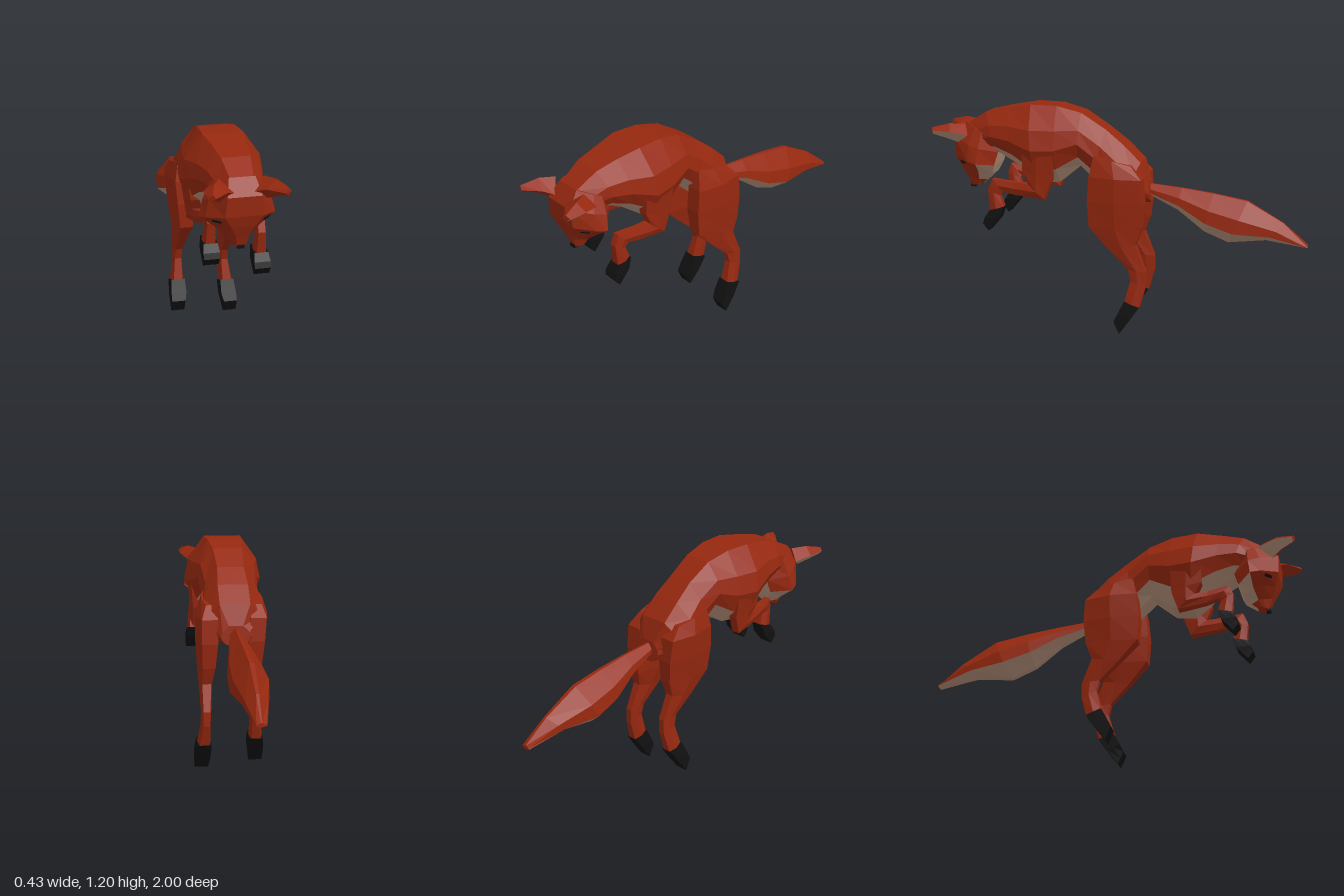
import * as THREE from 'three';

const mat = (name, color) => {
  const m = new THREE.MeshStandardMaterial({ color, side: THREE.DoubleSide });
  m.name = name;
  return m;
};

// Symmetric cross-section: top/front point T and bottom/back point B as [z, y],
// half width w, centre x; profile = [fraction from T to B, width factor].
function ring([tz, ty, bz, by, w, x = 0], profile) {
  const at = (s) => ([f, k]) => new THREE.Vector3(x + s * k * w, ty + (by - ty) * f, tz + (bz - tz) * f);
  return [...profile.map(at(1)), ...profile.map(at(-1)).reverse()];
}

// Faceted skin through the rings with capped ends; pick(segment, column) gives the material index.
function loft(name, rings, materials, pick = () => 0) {
  const n = rings[0].length, tris = materials.map(() => []);
  let volume = 0;
  const add = (m, a, b, c) => {
    tris[m].push([a, b, c]);
    volume += a.dot(new THREE.Vector3().crossVectors(b, c));
  };
  for (let i = 0; i < rings.length - 1; i++)
    for (let j = 0; j < n; j++) {
      const k = (j + 1) % n, m = pick(i, j);
      add(m, rings[i][j], rings[i][k], rings[i + 1][k]);
      add(m, rings[i][j], rings[i + 1][k], rings[i + 1][j]);
    }
  [0, rings.length - 1].forEach((i) => {
    const c = new THREE.Vector3();
    rings[i].forEach((p) => c.addScaledVector(p, 1 / n));
    for (let j = 0; j < n; j++) {
      const a = rings[i][j], b = rings[i][(j + 1) % n];
      i ? add(pick(i - 1, 0), c, a, b) : add(pick(0, 0), c, b, a);
    }
  });
  const pos = [], geo = new THREE.BufferGeometry();
  tris.forEach((list, m) => {
    geo.addGroup(pos.length / 3, list.length * 3, m);
    for (const t of list) for (const p of volume < 0 ? [t[0], t[2], t[1]] : t) pos.push(p.x, p.y, p.z);
  });
  geo.setAttribute('position', new THREE.Float32BufferAttribute(pos, 3));
  geo.computeVertexNormals();
  const mesh = new THREE.Mesh(geo, materials);
  mesh.name = name;
  return mesh;
}

export function createModel() {
  const fox = new THREE.Group();
  fox.name = 'leapingFox';
  const red = mat('redFur', 0x96280f), cream = mat('creamFur', 0xb5917a), black = mat('blackFur', 0x111111);
  const coat = [red, cream, black];

  // Arched torso with a cream throat, chest and belly
  const bodyProfile = [[0, 0.48], [0.3, 0.9], [0.55, 1], [0.8, 0.8], [1, 0.35]];
  const body = [
    [0.84, 1.09, 0.70, 0.95, 0.12],
    [0.72, 1.16, 0.65, 0.93, 0.15],
    [0.60, 1.185, 0.56, 0.88, 0.175],
    [0.47, 1.205, 0.43, 0.78, 0.215],
    [0.33, 1.20, 0.32, 0.79, 0.195],
    [0.20, 1.165, 0.21, 0.88, 0.165],
    [0.07, 1.08, 0.13, 0.80, 0.15],
    [-0.03, 1.0, 0.06, 0.73, 0.17],
    [-0.12, 0.91, -0.03, 0.69, 0.17],
    [-0.16, 0.80, -0.17, 0.69, 0.08],
  ].map((r) => ring(r, bodyProfile));
  fox.add(loft('torso', body, coat, (i, j) => (i < 7 && j >= 3 && j <= 5 ? 1 : 0)));

  // Head pointing down, cream under the jaw
  const headProfile = [[0, 0.5], [0.4, 0.9], [0.65, 1], [1, 0.5]];
  const head = [
    [0.84, 1.10, 0.68, 1.03, 0.13],
    [0.90, 1.02, 0.66, 0.94, 0.17],
    [0.895, 0.92, 0.68, 0.87, 0.19],
    [0.875, 0.86, 0.70, 0.82, 0.115],
    [0.85, 0.80, 0.74, 0.78, 0.058],
    [0.83, 0.745, 0.77, 0.755, 0.04],
  ].map((r) => ring(r, headProfile));
  fox.add(loft('head', head, coat, (i, j) => ((j === 3 && i > 0) || (i > 1 && i < 4 && (j === 2 || j === 4)) ? 1 : 0)));

  const nose = new THREE.Mesh(new THREE.BoxGeometry(0.034, 0.018, 0.024), black);
  nose.name = 'nose';
  nose.position.set(0, 0.745, 0.825);
  fox.add(nose);

  // Narrow eyes laid on the cheek facets
  const [c, d] = [head[2], head[3]];
  const onFace = (u, v) => c[0].clone().lerp(c[1], u).lerp(d[0].clone().lerp(d[1], u), v);
  const corners = [[0.35, 0.3], [0.75, 0.15], [0.8, 0.35], [0.4, 0.5]].map(([u, v]) => onFace(u, v));
  const out = new THREE.Vector3(0.6, -0.45, 0.65).multiplyScalar(0.006);

  // Ears: red outside, cream on the lower hollow
  const earRings = [
    [[0.05, 1.04, 0.885], [0.11, 1.095, 0.83], [0.17, 1.04, 0.80], [0.12, 0.995, 0.87]],
    [[0.09, 1.06, 0.93], [0.15, 1.10, 0.905], [0.2, 1.06, 0.89], [0.155, 1.02, 0.92]],
    [[0.165, 1.06, 1.0], [0.18, 1.08, 0.995], [0.2, 1.065, 0.985], [0.18, 1.045, 0.99]],
  ];
  for (const s of [1, -1]) {
    const side = s > 0 ? 'left' : 'right';
    const mirror = (p) => new THREE.Vector3(p.x * s, p.y, p.z);
    fox.add(loft(side + 'Eye', [corners, corners.map((p) => p.clone().add(out))].map((r) => r.map(mirror)), [black]));
    fox.add(loft(side + 'Ear', earRings.map((r) => r.map(([x, y, z]) => new THREE.Vector3(x * s, y, z))), coat, (i, j) => (j === 2 ? 1 : 0)));
  }

  // Legs: [T z, T y, B z, B y, half width, x]
  const legProfile = [[0, 0.65], [0.5, 1], [1, 0.65]];
  const pawProfile = [[0, 1], [0.5, 1], [1, 1]];
  const hind = [
    [0.12, 0.95, -0.08, 0.90, 0.045, 0.12],
    [0.14, 0.84, -0.14, 0.83, 0.065, 0.135],
    [0.15, 0.71, -0.15, 0.70, 0.065, 0.135],
    [0.14, 0.57, -0.14, 0.57, 0.052, 0.14],
    [0.03, 0.45, -0.11, 0.48, 0.036, 0.15],
    [-0.07, 0.35, -0.165, 0.34, 0.028, 0.155],
    [-0.085, 0.29, -0.165, 0.26, 0.027, 0.158],
    [-0.055, 0.18, -0.135, 0.15, 0.037, 0.165],
    [-0.02, 0.11, -0.09, 0.085, 0.042, 0.168],
    [0.0, 0.07, -0.03, 0.004, 0.037, 0.173],
  ];
  const fore = [
    [0.50, 1.0, 0.33, 0.95, 0.04, 0.16],
    [0.50, 0.86, 0.34, 0.82, 0.04, 0.15],
    [0.47, 0.79, 0.38, 0.71, 0.038, 0.15],
    [0.55, 0.795, 0.53, 0.725, 0.03, 0.147],
    [0.67, 0.81, 0.61, 0.74, 0.028, 0.145],
    [0.695, 0.75, 0.63, 0.72, 0.028, 0.145],
    [0.685, 0.64, 0.61, 0.66, 0.036, 0.145],
    [0.71, 0.60, 0.63, 0.60, 0.042, 0.145],
    [0.72, 0.57, 0.69, 0.53, 0.04, 0.145],
  ];
  const leg = (name, rows, foot) => {
    const g = new THREE.Group();
    g.name = name;
    g.add(loft('limb', rows.slice(0, foot + 1).map((r) => ring(r, legProfile)), [red]));
    g.add(loft('paw', rows.slice(foot).map((r) => ring(r, pawProfile)), [black]));
    fox.add(g);
  };
  // The right legs are tucked a little higher and closer in
  const tuck = (rows, dx, dy, dz) => rows.map(([tz, ty, bz, by, w, x], i) => {
    const k = Math.min(1, i / 5);
    return [tz + dz * k, ty + dy * k, bz + dz * k, by + dy * k, w, -x + dx * k];
  });
  leg('leftHindLeg', hind, 7);
  leg('rightHindLeg', tuck(hind, 0.053, 0.03, 0), 7);
  leg('leftForeleg', fore, 6);
  leg('rightForeleg', tuck(fore, 0.042, 0.055, -0.04), 6);

  // Bushy tail with a cream underside
  const tailProfile = [[0, 0.12], [0.4, 0.9], [0.72, 1], [1, 0.15]];
  const tail = [
    [-0.14, 0.79, -0.17, 0.72, 0.032],
    [-0.33, 0.77, -0.31, 0.65, 0.06],
    [-0.50, 0.745, -0.45, 0.54, 0.09, -0.005],
    [-0.68, 0.71, -0.58, 0.485, 0.1, -0.01],
    [-0.87, 0.60, -0.78, 0.505, 0.065, -0.01],
    [-1.0, 0.49, -1.0, 0.47, 0.028, -0.01],
  ].map((r) => ring(r, tailProfile));
  fox.add(loft('tail', tail, coat, (i, j) => (j >= 2 && j <= 4 ? 1 : 0)));
  return fox;
}
